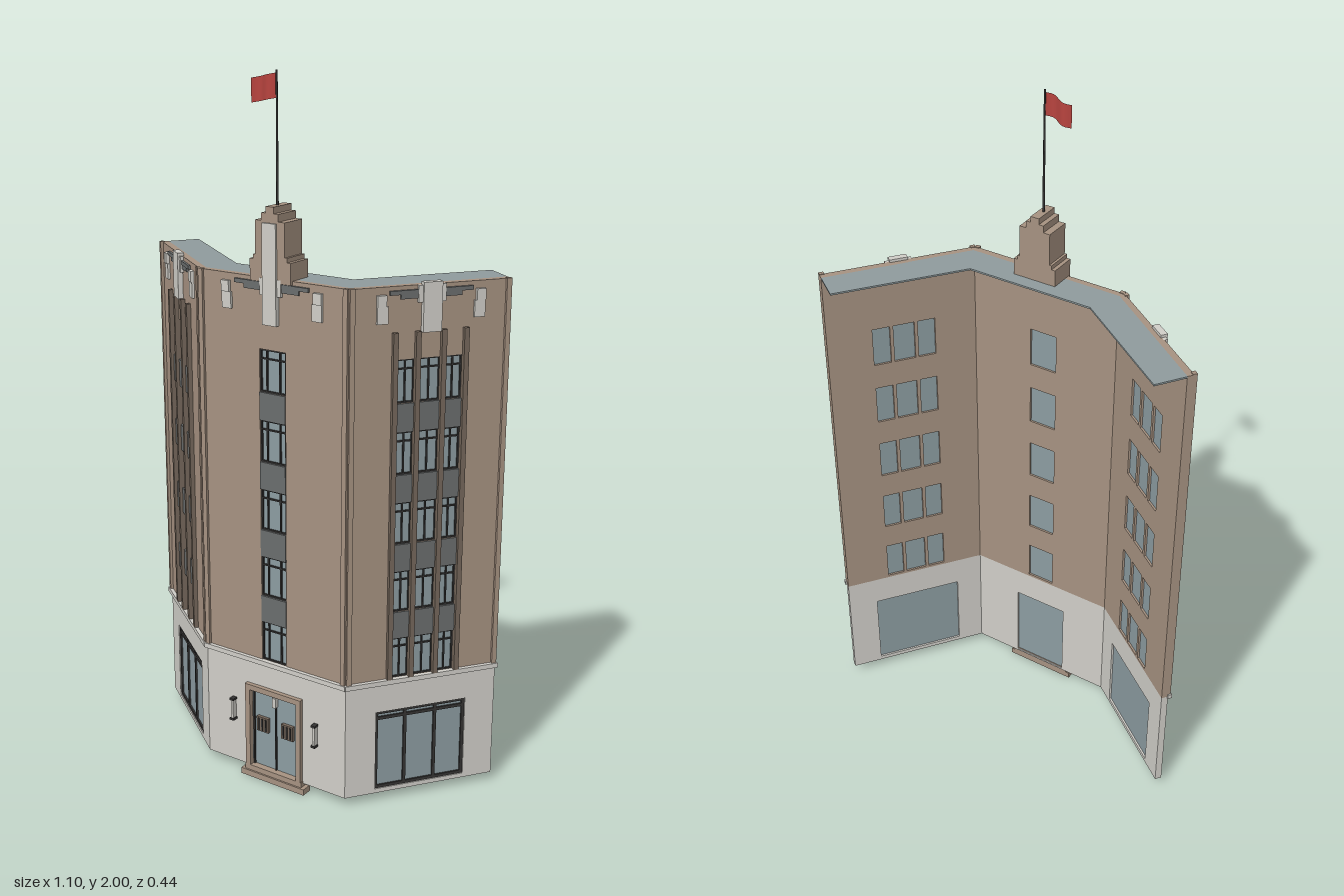
import * as THREE from 'three';

const mat = (name, color) => {
  const m = new THREE.MeshStandardMaterial({ color });
  m.name = name;
  return m;
};

export function createModel() {
  const tan = mat('tan masonry', 0xa69281);
  const stone = mat('pale stone', 0xd0cec8);
  const glass = mat('window glass', 0x8c9ca1);
  const roofMat = mat('roof grey blue', 0x8f9b9d);
  const slate = mat('spandrel grey', 0x6a6d6d);
  const dark = mat('dark metal', 0x343332);
  const bronze = mat('pier brown', 0x75675b);
  const red = mat('flag red', 0xb8443f);
  red.side = THREE.DoubleSide;

  const model = new THREE.Group();
  model.name = 'cornerBuilding';

  const add = (parent, name, geo, material) => {
    const m = new THREE.Mesh(geo, material);
    m.name = name;
    parent.add(m);
    return m;
  };
  // box given by its limits
  const box = (parent, name, material, x0, x1, y0, y1, z0, z1) => {
    const m = add(parent, name, new THREE.BoxGeometry(x1 - x0, y1 - y0, z1 - z0), material);
    m.position.set((x0 + x1) / 2, (y0 + y1) / 2, (z0 + z1) / 2);
    return m;
  };
  // slab with rectangular openings, front face at z = 0
  const slab = (parent, name, material, x0, x1, y0, y1, openings) => {
    const rect = (C, a, b, c, d) => {
      const p = new C();
      p.moveTo(a, c); p.lineTo(b, c); p.lineTo(b, d); p.lineTo(a, d); p.closePath();
      return p;
    };
    const s = rect(THREE.Shape, x0, x1, y0, y1);
    for (const o of openings) s.holes.push(rect(THREE.Path, ...o));
    const g = new THREE.ExtrudeGeometry(s, { depth: WALL, bevelEnabled: false });
    g.translate(0, 0, -WALL);
    add(parent, name, g, material);
  };

  const WALL = 0.02, BASE = 0.027, LEDGE = 0.37, TOP = 1.475;
  const floors = [0, 1, 2, 3, 4].map(i => 0.378 + i * 0.1965);
  const WIN = 0.118;

  // plan corners of the street front (x, z)
  const A = [-0.54, -0.047], B = [-0.203, 0.2], C = [0.275, 0.2], D = [0.541, -0.16];

  // pane with frame and glazing bars
  function glazing(g, name, x0, x1, y0, y1, bars, transom, t) {
    box(g, name + 'Glass', glass, x0, x1, y0, y1, -0.014, -0.008);
    for (const x of [x0 + t / 2, x1 - t / 2, ...bars])
      box(g, name + 'Bar', dark, x - t / 2, x + t / 2, y0, y1, -0.009, -0.003);
    for (const y of [y0 + t / 2, y1 - t / 2, transom])
      box(g, name + 'Rail', dark, x0, x1, y - t / 2, y + t / 2, -0.009, -0.003);
  }

  // one straight wall: columns are [u0, u1] window limits, opening is the ground floor hole
  function wall(name, P, Q, columns, opening) {
    const g = new THREE.Group();
    g.name = name;
    const dx = Q[0] - P[0], dz = Q[1] - P[1], h = Math.hypot(dx, dz) / 2;
    g.position.set((P[0] + Q[0]) / 2, 0, (P[1] + Q[1]) / 2);
    g.rotation.y = -Math.atan2(dz, dx);
    model.add(g);

    const holes = floors.flatMap(y => columns.map(([a, b]) => [a, b, y, y + WIN]));
    slab(g, 'upperWall', tan, -h, h, LEDGE, TOP, holes);
    slab(g, 'groundWall', stone, -h, h, BASE, LEDGE, [opening]);
    box(g, 'ledge', stone, -h - 0.004, h + 0.004, LEDGE - 0.006, LEDGE + 0.008, -0.002, 0.011);
    for (const s of [-1, 1]) {
      box(g, 'cornerStrip', tan, s * (h - 0.007) - 0.007, s * (h - 0.007) + 0.007, LEDGE, TOP + 0.002, -0.004, 0.008);
    }
    // windows and the spandrels between them
    const u0 = columns[0][0], u1 = columns[columns.length - 1][1];
    floors.forEach((y, i) => {
      for (const [a, b] of columns) {
        const w = b - a;
        const bars = columns.length > 1 ? [a + w / 2] : [a + w * 0.25, a + w * 0.75];
        glazing(g, 'window', a, b, y, y + WIN, bars, y + WIN * 0.78, 0.004);
      }
      if (i < 4) box(g, 'spandrel', slate, u0, u1, y + WIN, floors[i + 1], -0.003, 0.003);
    });
    return g;
  }

  // crown ornament: central fin, side blocks and frieze bars
  function crown(g, finHalf, finTop, blockU, barEnd) {
    box(g, 'crownFin', stone, -finHalf, finHalf, 1.352, finTop, -0.005, 0.014);
    for (const s of [-1, 1]) {
      const span = (n, m, a, b, y0, y1, z) =>
        box(g, n, m, Math.min(s * a, s * b), Math.max(s * a, s * b), y0, y1, -0.002, z);
      span('crownShoulder', stone, finHalf, finHalf + 0.012, 1.43, TOP, 0.009);
      span('friezeBar', slate, finHalf + 0.012, barEnd, 1.453, 1.464, 0.007);
      span('friezeStep', slate, finHalf + 0.012, barEnd - 0.03, 1.441, 1.453, 0.005);
      span('crownBlock', stone, blockU - 0.015, blockU + 0.015, 1.38, 1.425, 0.007);
      span('crownBlockTop', stone, blockU - 0.01, blockU + 0.015, 1.425, 1.455, 0.01);
    }
  }

  // side wings with three window columns and a shop window
  const wingColumns = [[-0.092, -0.041], [-0.031, 0.031], [0.041, 0.092]];
  for (const [name, P, Q] of [['rightWing', A, B], ['leftWing', C, D]]) {
    const g = wall(name, P, Q, wingColumns, [-0.135, 0.135, 0.04, 0.28]);
    for (const u of [-0.099, -0.036, 0.036, 0.099])
      box(g, 'pier', bronze, u - 0.007, u + 0.007, LEDGE + 0.008, 1.355, -0.004, 0.012);
    glazing(g, 'shopWindow', -0.135, 0.135, 0.04, 0.28, [-0.045, 0.045], 0.258, 0.009);
    crown(g, 0.026, 1.483, 0.135, 0.115);
  }

  // middle wall with the entrance
  const mid = wall('middleWall', B, C, [[-0.042, 0.042]], [-0.085, 0.085, BASE + 0.005, 0.28]);
  crown(mid, 0.022, 1.62, 0.145, 0.118);

  // entrance: surround, leaves, grilles, lantern and step
  box(mid, 'doorGlass', glass, -0.085, 0.085, 0.03, 0.28, -0.014, -0.008);
  for (const s of [-1, 1]) {
    box(mid, 'doorJamb', tan, s * 0.088 - 0.008, s * 0.088 + 0.008, 0.02, 0.29, -0.004, 0.012);
    box(mid, 'doorStile', dark, s * 0.076 - 0.002, s * 0.076 + 0.002, 0.03, 0.275, -0.009, -0.003);
    box(mid, 'doorGrille', bronze, s * 0.043 - 0.02, s * 0.043 + 0.02, 0.148, 0.193, -0.008, 0.002);
    for (const k of [-1, 0, 1]) {
      box(mid, 'grilleBar', dark, s * 0.043 + k * 0.012 - 0.002, s * 0.043 + k * 0.012 + 0.002, 0.152, 0.189, 0, 0.005);
    }
    // wall lights beside the door
    box(mid, 'wallLight', stone, s * 0.142 - 0.004, s * 0.142 + 0.004, 0.165, 0.225, 0, 0.015);
    for (const y of [0.162, 0.225])
      box(mid, 'wallLightCap', dark, s * 0.142 - 0.007, s * 0.142 + 0.007, y, y + 0.006, 0, 0.018);
  }
  box(mid, 'doorHead', tan, -0.096, 0.096, 0.276, 0.292, -0.004, 0.013);
  box(mid, 'doorSplit', dark, -0.002, 0.002, 0.03, 0.235, -0.009, -0.003);
  box(mid, 'lantern', stone, -0.006, 0.006, 0.238, 0.268, -0.008, 0.006);
  box(mid, 'step', tan, -0.11, 0.11, 0, 0.018, -0.016, 0.017);
  box(mid, 'threshold', tan, -0.098, 0.098, 0.018, 0.034, -0.016, 0.012);

  // roof strip behind the walls
  const plan = [[-0.529, -0.063], [-0.198, 0.182], [0.266, 0.182], [0.525, -0.171],
    [0.45, -0.225], [0.216, 0.089], [-0.163, 0.089], [-0.477, -0.139]];
  const roofGeo = new THREE.ExtrudeGeometry(
    new THREE.Shape(plan.map(([x, z]) => new THREE.Vector2(x, -z))), { depth: 0.005, bevelEnabled: false });
  roofGeo.rotateX(-Math.PI / 2);
  add(model, 'roof', roofGeo, roofMat).position.y = TOP - 0.005;

  // stepped tower, one profile extruded front to back
  const half = [[0.065, TOP - 0.01], [0.065, 1.523], [0.054, 1.523], [0.054, 1.535], [0.047, 1.535], [0.047, 1.625],
    [0.027, 1.625], [0.027, 1.645], [0.013, 1.645], [0.013, 1.662]];
  const outline = [...half, ...half.map(([x, y]) => [-x, y]).reverse()];
  const towerGeo = new THREE.ExtrudeGeometry(
    new THREE.Shape(outline.map(p => new THREE.Vector2(...p))), { depth: 0.078, bevelEnabled: false });
  add(model, 'tower', towerGeo, tan).position.set(0.036, 0, 0.13);

  // flagpole and waving flag
  add(model, 'flagpole', new THREE.CylinderGeometry(0.0025, 0.0035, 0.34, 8), dark).position.set(0.035, 1.83, 0.172);
  const flagGeo = new THREE.PlaneGeometry(0.08, 0.062, 12, 1);
  const p = flagGeo.attributes.position;
  for (let i = 0; i < p.count; i++) {
    const t = (0.04 - p.getX(i)) / 0.08;
    p.setY(i, p.getY(i) - t * 0.016);
    p.setZ(i, Math.sin(t * Math.PI * 2) * 0.009);
  }
  flagGeo.computeVertexNormals();
  add(model, 'flag', flagGeo, red).position.set(-0.005, 1.962, 0.172);

  return model;
}
